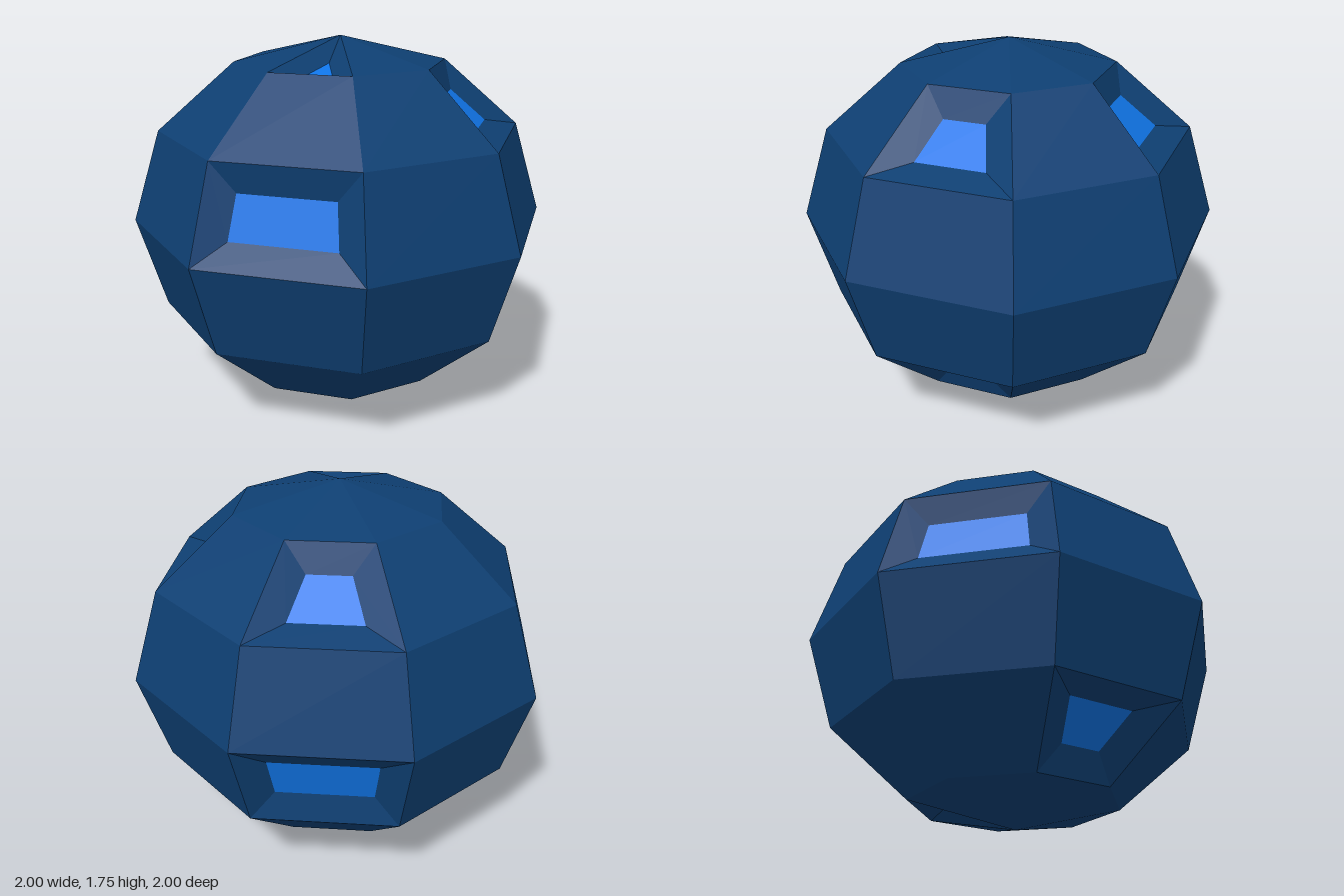
import * as THREE from 'three';

const SECTORS = 8, BANDS = 6, HALF_HEIGHT = 0.875;
const INSET = 0.125, DEPTH = 0.06, TRIANGLE_SCALE = 0.37;

// Recessed panels as [sector, band]; band 0 is the top cap
const RECESSES = [[1, 0], [1, 2], [2, 4], [3, 2], [5, 1], [5, 3], [5, 5], [7, 1], [7, 4]];

// Point on the squashed faceted sphere
function spherePoint(sector, band) {
  const polar = (band / BANDS) * Math.PI, turn = (sector / SECTORS) * Math.PI * 2;
  const r = Math.sin(polar);
  return new THREE.Vector3(r * Math.cos(turn), HALF_HEIGHT * (1 + Math.cos(polar)), r * Math.sin(turn));
}

// Outward-facing corners of one panel: a quad, or a triangle at the poles
function panelCorners(sector, band) {
  const corners = [spherePoint(sector, band)];
  if (band > 0) corners.push(spherePoint(sector + 1, band));
  corners.push(spherePoint(sector + 1, band + 1));
  if (band < BANDS - 1) corners.push(spherePoint(sector, band + 1));
  return corners;
}

// Smaller outline of a panel, pushed inwards
function recessFloor(corners) {
  const n = corners.length;
  const normal = corners[1].clone().sub(corners[0])
    .cross(corners[2].clone().sub(corners[0])).normalize();
  const centre = new THREE.Vector3();
  corners.forEach((p) => centre.addScaledVector(p, 1 / n));
  return corners.map((p, i) => {
    let q;
    if (n === 3) {
      q = centre.clone().lerp(p, TRIANGLE_SCALE);
    } else {
      const next = corners[(i + 1) % n].clone().sub(p).normalize();
      const prev = corners[(i + n - 1) % n].clone().sub(p).normalize();
      const shift = INSET / Math.sin(next.angleTo(prev));
      q = p.clone().addScaledVector(next.add(prev), shift);
    }
    return q.addScaledVector(normal, -DEPTH);
  });
}

// Flat-faced geometry from a list of convex polygons
function facetGeometry(polygons) {
  const points = [];
  for (const poly of polygons) {
    for (let i = 1; i < poly.length - 1; i++) points.push(poly[0], poly[i], poly[i + 1]);
  }
  const geometry = new THREE.BufferGeometry().setFromPoints(points);
  geometry.computeVertexNormals();
  return geometry;
}

export function createModel() {
  const group = new THREE.Group();
  group.name = 'facetedSphere';
  const hullBlue = new THREE.MeshStandardMaterial({ color: 0x0e3f72 });
  hullBlue.name = 'dark blue';
  const windowBlue = new THREE.MeshStandardMaterial({ color: 0x1075e8 });
  windowBlue.name = 'bright blue';

  const add = (name, polygons, material) => {
    const mesh = new THREE.Mesh(facetGeometry(polygons), material);
    mesh.name = name;
    group.add(mesh);
  };

  // Plain panels of the shell
  const shell = [];
  for (let band = 0; band < BANDS; band++) {
    for (let sector = 0; sector < SECTORS; sector++) {
      if (!RECESSES.some(([s, b]) => s === sector && b === band)) shell.push(panelCorners(sector, band));
    }
  }
  add('shell', shell, hullBlue);

  // Sloping walls and bright floor of each recess
  RECESSES.forEach(([sector, band], k) => {
    const rim = panelCorners(sector, band), floor = recessFloor(rim), n = rim.length;
    const walls = rim.map((p, i) => [p, rim[(i + 1) % n], floor[(i + 1) % n], floor[i]]);
    add(`recessWalls${k + 1}`, walls, hullBlue);
    add(`window${k + 1}`, [floor], windowBlue);
  });

  return group;
}
